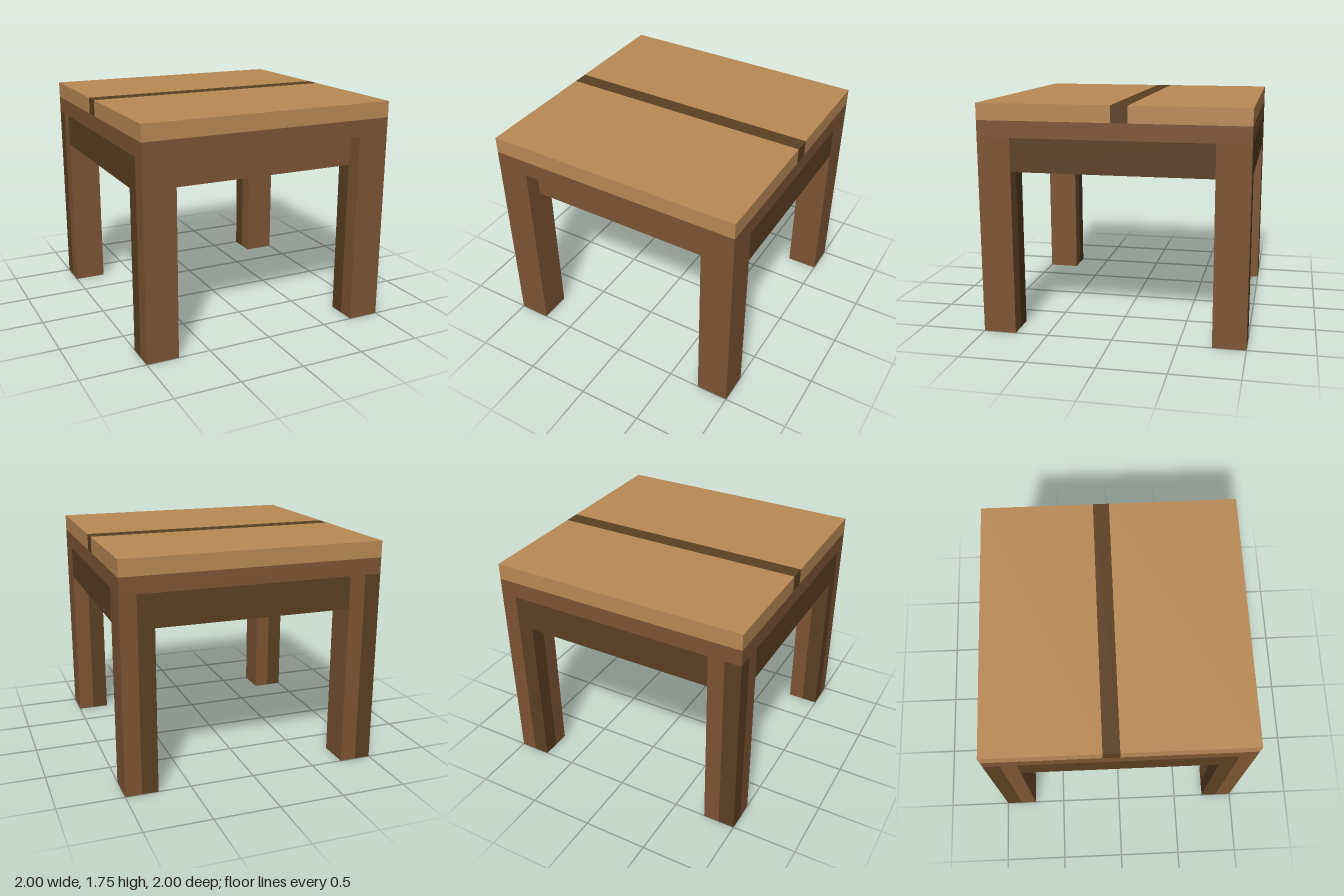
import * as THREE from 'three';

export function createModel() {
  const table = new THREE.Group();
  table.name = 'table';

  const material = (name, color) => {
    const m = new THREE.MeshStandardMaterial({ color });
    m.name = name;
    return m;
  };
  const lightWood = material('light wood', 0xbb8a56);
  const brownWood = material('brown wood', 0x7e5534);
  const darkWood = material('dark wood', 0x5c4022);

  // box given by its lowest and highest corners
  function box(parent, name, mat, [x0, y0, z0], [x1, y1, z1]) {
    const mesh = new THREE.Mesh(new THREE.BoxGeometry(x1 - x0, y1 - y0, z1 - z0), mat);
    mesh.position.set((x0 + x1) / 2, (y0 + y1) / 2, (z0 + z1) / 2);
    mesh.name = name;
    parent.add(mesh);
  }

  const u = 0.125; // width of one wood strip
  const legTop = 1.5, apronBottom = 1.25, inner = 0.75;

  // table top: two light planks with a dark strip between, on a brown frame
  const top = new THREE.Group();
  top.name = 'tableTop';
  table.add(top);
  box(top, 'topFrame', brownWood, [-1, legTop, -1], [1, legTop + u, 1]);
  box(top, 'backPlank', lightWood, [-1, legTop + u, -1], [1, legTop + 2 * u, -u]);
  box(top, 'darkStrip', darkWood, [-1, legTop + u, -u], [1, legTop + 2 * u, 0]);
  box(top, 'frontPlank', lightWood, [-1, legTop + u, 0], [1, legTop + 2 * u, 1]);

  // four equal legs, each with a dark strip along its back right corner
  for (const x of [-1, inner]) {
    for (const z of [-1, inner]) {
      const leg = new THREE.Group();
      leg.name = (z > 0 ? 'front' : 'back') + (x > 0 ? 'Left' : 'Right') + 'Leg';
      leg.position.set(x, 0, z);
      table.add(leg);
      box(leg, 'legMain', brownWood, [u, 0, 0], [2 * u, legTop, 2 * u]);
      box(leg, 'legFrontStrip', brownWood, [0, 0, u], [u, legTop, 2 * u]);
      box(leg, 'legDarkStrip', darkWood, [0, 0, 0], [u, legTop, u]);
    }
  }

  // side and back aprons lie flush with the legs
  box(table, 'leftApron', darkWood, [1 - u, apronBottom, -inner], [1, legTop, inner]);
  box(table, 'rightApron', darkWood, [-1, apronBottom, -inner], [-1 + u, legTop, inner]);
  box(table, 'backApron', darkWood, [-inner, apronBottom, -1], [inner, legTop, -1 + u]);

  // front apron is set back, brown with a dark underside (box face order: +x -x +y -y +z -z)
  const frontFaces = [brownWood, brownWood, brownWood, darkWood, brownWood, brownWood];
  box(table, 'frontApron', frontFaces, [-inner, apronBottom, inner], [inner, legTop, 1 - u]);

  return table;
}
